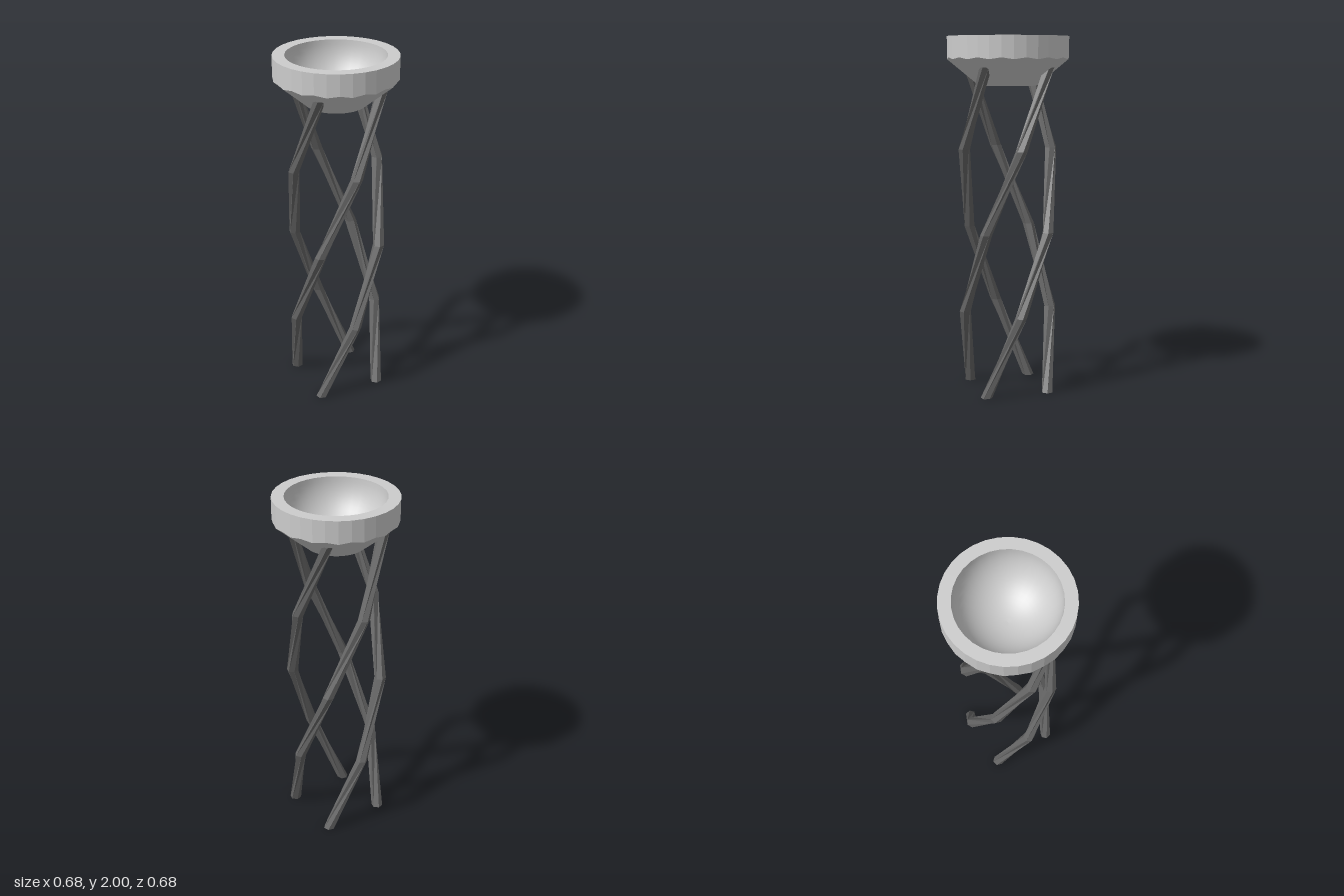
import * as THREE from 'three';

const SIDES = 32;
const HEX = 6;

// Split faces apart so each one shades flat
function faceted(geometry) {
  const g = geometry.index ? geometry.toNonIndexed() : geometry;
  g.computeVertexNormals();
  return g;
}

// Twisting strut: horizontal hexagons stacked along a helix, joined and capped
function strutGeometry() {
  const levels = [0, 0.46, 0.92, 1.38, 1.83];
  const positions = [], index = [];
  levels.forEach((y, i) => {
    const turn = (i - 1) * Math.PI / 4;
    const cx = 0.253 * Math.sin(turn), cz = 0.253 * Math.cos(turn);
    for (let k = 0; k < HEX; k++) {
      const a = turn + k * 2 * Math.PI / HEX;
      positions.push(cx + 0.033 * Math.sin(a), y, cz + 0.033 * Math.cos(a));
    }
  });
  for (let i = 0; i < levels.length - 1; i++) {
    for (let k = 0; k < HEX; k++) {
      const a = i * HEX + k, b = i * HEX + (k + 1) % HEX;
      index.push(a, b, b + HEX, a, b + HEX, a + HEX);
    }
  }
  const top = (levels.length - 1) * HEX;
  for (let k = 1; k < HEX - 1; k++) {
    index.push(0, k + 1, k);
    index.push(top, top + k, top + k + 1);
  }
  const g = new THREE.BufferGeometry();
  g.setAttribute('position', new THREE.Float32BufferAttribute(positions, 3));
  g.setIndex(index);
  return faceted(g);
}

// Tapered underside, upright band and flat rim
function shellGeometry() {
  const profile = [[0, 1.73], [0.163, 1.73], [0.338, 1.884], [0.338, 2], [0.272, 2]]
    .map(([r, y]) => new THREE.Vector2(r, y));
  const g = new THREE.LatheGeometry(profile, SIDES);
  // Scalloped lower edge of the band
  const p = g.attributes.position;
  for (let i = 0; i <= SIDES; i++) {
    if (i % 2) p.setY(i * profile.length + 2, 1.874);
  }
  return faceted(g);
}

// Smooth hemispherical hollow
function hollowGeometry() {
  const profile = [];
  for (let i = 0; i <= 16; i++) {
    const a = i / 16 * Math.PI / 2;
    profile.push(new THREE.Vector2(i === 16 ? 0 : 0.272 * Math.cos(a), 2 - 0.268 * Math.sin(a)));
  }
  return new THREE.LatheGeometry(profile, SIDES);
}

export function createModel() {
  const model = new THREE.Group();
  model.name = 'pedestalBowl';

  const lightGrey = new THREE.MeshStandardMaterial({ color: 0xcccccc });
  lightGrey.name = 'lightGrey';
  const darkGrey = new THREE.MeshStandardMaterial({ color: 0x666666 });
  darkGrey.name = 'darkGrey';

  // Bowl
  const bowl = new THREE.Group();
  bowl.name = 'bowl';
  const shell = new THREE.Mesh(shellGeometry(), lightGrey);
  shell.name = 'bowlShell';
  const hollow = new THREE.Mesh(hollowGeometry(), lightGrey);
  hollow.name = 'bowlHollow';
  bowl.add(shell, hollow);
  model.add(bowl);

  // Four twisting legs
  const strut = strutGeometry();
  for (let i = 0; i < 4; i++) {
    const leg = new THREE.Mesh(strut, darkGrey);
    leg.name = 'twistedLeg' + (i + 1);
    leg.rotation.y = i * Math.PI / 2;
    model.add(leg);
  }
  return model;
}
